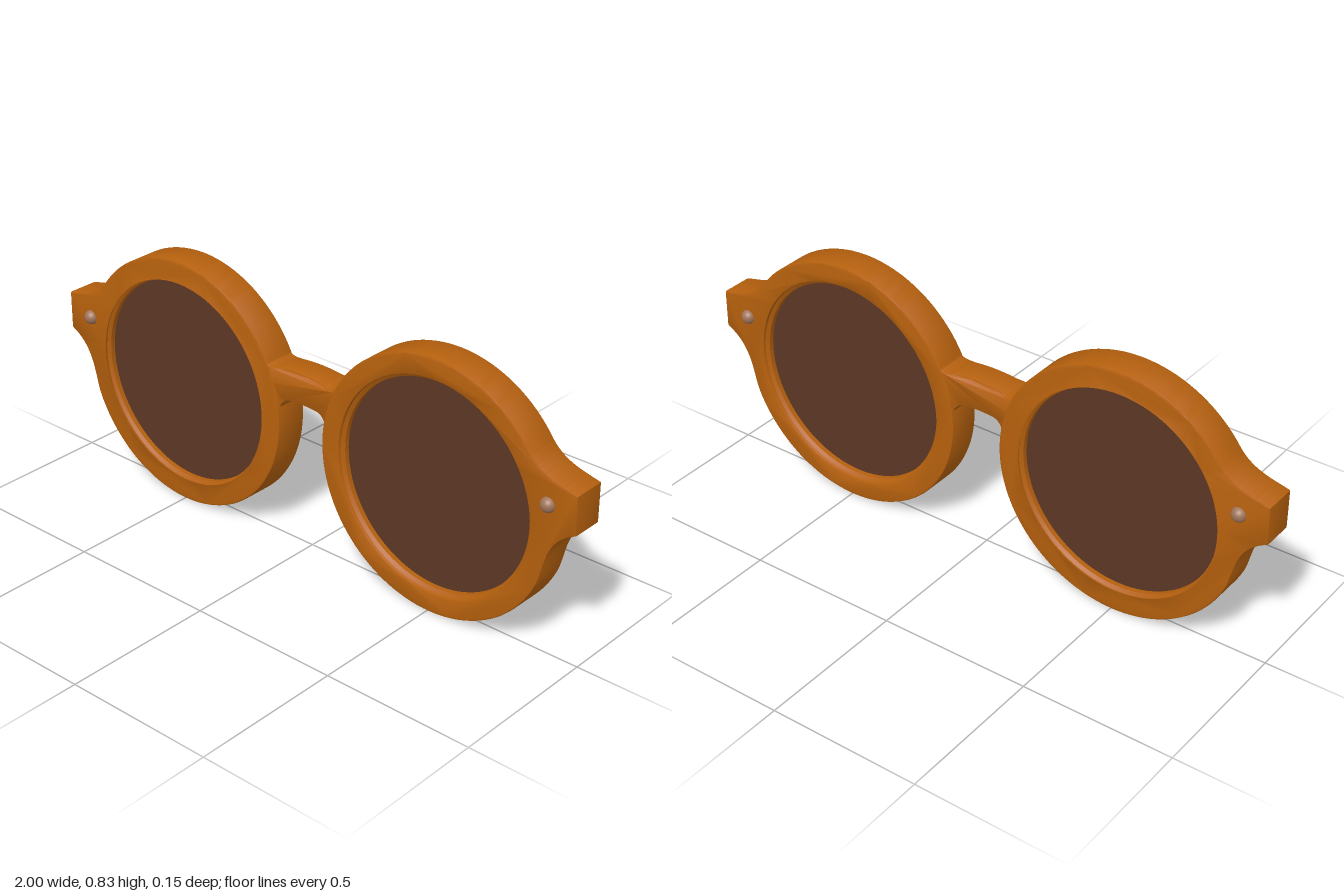
import * as THREE from 'three';
import { toCreasedNormals } from 'three/addons/utils/BufferGeometryUtils.js';

const frameMat = new THREE.MeshStandardMaterial({ color: 0xb5600d });
frameMat.name = 'amber frame';
const lensMat = new THREE.MeshStandardMaterial({ color: 0x5c3725 });
lensMat.name = 'brown lens';
const rivetMat = new THREE.MeshStandardMaterial({ color: 0xa0745a });
rivetMat.name = 'copper rivet';

const CX = 0.5, CY = 0.415, R = 0.414;   // rim centre and outer radius
const HALF = 0.056;                      // half depth of the rims

function mesh(name, geometry, material) {
  const m = new THREE.Mesh(geometry, material);
  m.name = name;
  return m;
}

// Extrude centred on z = 0 with a small edge bevel kept inside the outline
function slab(shape, half, bevel) {
  const g = new THREE.ExtrudeGeometry(shape, {
    depth: 2 * (half - bevel), curveSegments: 48, bevelEnabled: true,
    bevelThickness: bevel, bevelSize: bevel, bevelOffset: -bevel, bevelSegments: 2,
  });
  g.translate(0, 0, bevel - half);
  return g;
}

// Round rim with the flared end piece; side is +1 or -1
function rimGeometry(side) {
  const a0 = 0.626, a1 = 2 * Math.PI - 0.405;
  const outline = new THREE.Shape();
  outline.absarc(CX, CY, R, a0, a1, false);
  const end = [CX + R * Math.cos(a1), CY + R * Math.sin(a1)];
  const start = [CX + R * Math.cos(a0), CY + R * Math.sin(a0)];
  outline.bezierCurveTo(end[0] + 0.025, end[1] + 0.064, 0.9, 0.41, 1, 0.455);
  outline.lineTo(1, 0.58);
  outline.bezierCurveTo(0.94, 0.595, 0.88, 0.6, start[0], start[1]);
  const pts = outline.getPoints(48).map((p) => new THREE.Vector2(p.x * side, p.y));
  const shape = new THREE.Shape(pts);
  const hole = new THREE.Path();
  hole.absarc(CX * side, CY, 0.348, 0, Math.PI * 2, true);
  shape.holes.push(hole);
  return toCreasedNormals(slab(shape, HALF, 0.005), 0.5);
}

// Sloped inner lip that holds the lens
function lipGeometry() {
  const profile = [[0.354, -0.05], [0.337, -0.038], [0.337, 0.038], [0.354, 0.05]]
    .map(([r, y]) => new THREE.Vector2(r, y));
  const g = new THREE.LatheGeometry(profile, 96);
  g.rotateX(Math.PI / 2);
  return toCreasedNormals(g, 0.5);
}

// Arched bridge, thinner than the rims and flaring to meet them
function bridgeGeometry() {
  const s = new THREE.Shape();
  s.moveTo(-0.15, 0.635);
  s.quadraticCurveTo(-0.135, 0.585, -0.09, 0.603);
  s.quadraticCurveTo(0, 0.616, 0.09, 0.603);
  s.quadraticCurveTo(0.135, 0.585, 0.15, 0.635);
  s.lineTo(0.155, 0.54);
  s.lineTo(0.1, 0.43);
  s.quadraticCurveTo(0.092, 0.495, 0.055, 0.503);
  s.quadraticCurveTo(0, 0.509, -0.055, 0.503);
  s.quadraticCurveTo(-0.092, 0.495, -0.1, 0.43);
  s.lineTo(-0.155, 0.54);
  s.closePath();
  const g = slab(s, 0.045, 0.004);
  const p = g.attributes.position;
  for (let i = 0; i < p.count; i++) {
    const k = THREE.MathUtils.smoothstep(Math.abs(p.getX(i)), 0.075, 0.115);
    p.setZ(i, p.getZ(i) * (1 + 0.21 * k));
  }
  return toCreasedNormals(g, 0.6);
}

export function createModel() {
  const model = new THREE.Group();
  model.name = 'roundSunglasses';

  const lip = lipGeometry();
  lip.computeBoundingBox();
  const lipMat = frameMat;
  lipMat.side = THREE.DoubleSide;
  const lens = new THREE.CylinderGeometry(0.341, 0.341, 0.044, 96).rotateX(Math.PI / 2);
  const rivet = new THREE.SphereGeometry(0.024, 24, 16);

  for (const side of [1, -1]) {
    const half = new THREE.Group();
    half.name = side > 0 ? 'leftSide' : 'rightSide';
    half.add(mesh('rim', rimGeometry(side), frameMat));

    const lipMesh = mesh('lensLip', lip, lipMat);
    const lensMesh = mesh('lens', lens, lensMat);
    for (const m of [lipMesh, lensMesh]) {
      m.position.set(CX * side, CY, 0);
      half.add(m);
    }

    // Rivet heads on the front and back of the end piece
    for (const z of [1, -1]) {
      const r = mesh(z > 0 ? 'frontRivet' : 'backRivet', rivet, rivetMat);
      r.position.set(0.905 * side, 0.52, z * 0.053);
      half.add(r);
    }
    model.add(half);
  }

  model.add(mesh('bridge', bridgeGeometry(), frameMat));
  return model;
}
